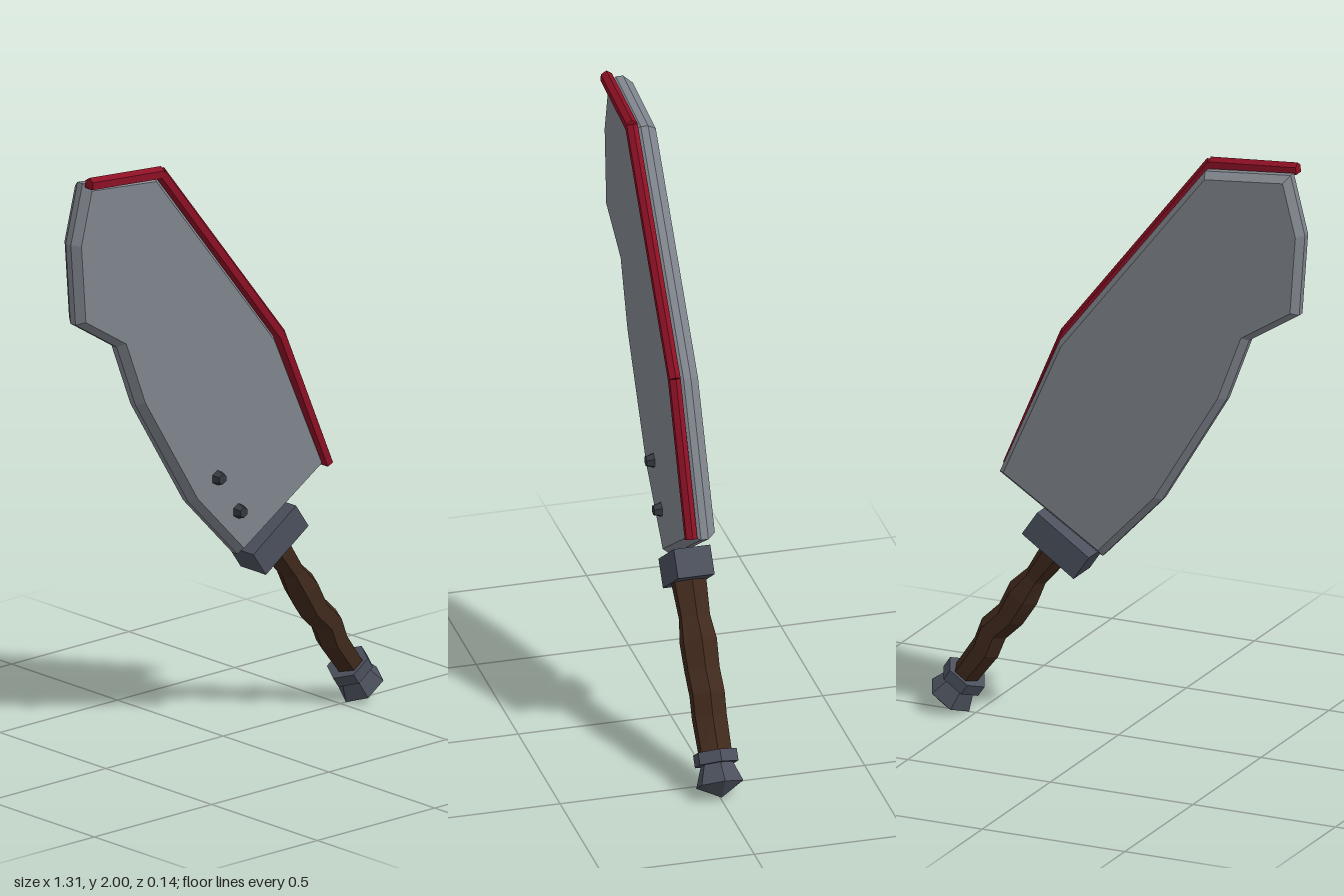
import * as THREE from 'three';

const material = (name, color) => {
  const m = new THREE.MeshStandardMaterial({ color, flatShading: true });
  m.name = name;
  return m;
};

export function createModel() {
  const steel = material('blade steel', 0x7f848c);
  const red = material('red edge', 0x8c1024);
  const wood = material('brown wood', 0x40291c);
  const iron = material('dark iron', 0x4b505c);
  const boltIron = material('bolt iron', 0x353a41);

  const model = new THREE.Group();
  model.name = 'machete';
  const add = (parent, name, geometry, mat) => {
    const mesh = new THREE.Mesh(geometry, mat);
    mesh.name = name;
    parent.add(mesh);
    return mesh;
  };

  // Broad blade, bevelled all round
  const outline = [
    [0.05, 0.6], [0.41, 0.83], [0.2, 1.3], [-0.31, 1.945], [-0.61, 1.975],
    [-0.66, 1.78], [-0.64, 1.51], [-0.465, 1.4], [-0.385, 1.19], [-0.16, 0.82],
  ].map(([x, y]) => new THREE.Vector2(x, y));
  const bladeGeometry = new THREE.ExtrudeGeometry(new THREE.Shape(outline), {
    depth: 0.024, bevelEnabled: true, bevelSegments: 1,
    bevelThickness: 0.028, bevelSize: 0.02, bevelOffset: -0.02,
  });
  bladeGeometry.translate(0, 0, -0.012);
  add(model, 'blade', bladeGeometry, steel);

  // Red strips with a ridge, laid along the front of the long edge
  const profile = new THREE.Shape([
    [-0.018, -0.018], [0.006, -0.018], [0.018, 0], [0.006, 0.018], [-0.018, 0.018],
  ].map(([x, y]) => new THREE.Vector2(x, y)));
  const edge = [[-0.61, 1.983], [-0.305, 1.957], [0.207, 1.307], [0.408, 0.836]]
    .map(([x, y]) => new THREE.Vector3(x, y, 0.043));
  const zAxis = new THREE.Vector3(0, 0, 1);
  for (let i = 0; i < edge.length - 1; i++) {
    const along = edge[i + 1].clone().sub(edge[i]);
    const depth = along.length();
    along.normalize();
    const outward = zAxis.clone().cross(along);
    const strip = new THREE.ExtrudeGeometry(profile, { depth, bevelEnabled: false });
    strip.applyMatrix4(new THREE.Matrix4().makeBasis(outward, zAxis, along).setPosition(edge[i]));
    add(model, 'edgeStrip' + (i + 1), strip, red);
  }

  // Two domed bolts on the front
  for (const [x, y] of [[-0.06, 0.885], [0.03, 0.755]]) {
    const bolt = new THREE.CylinderGeometry(0.017, 0.027, 0.03, 6);
    bolt.rotateX(Math.PI / 2);
    add(model, 'bolt', bolt, boltIron).position.set(x, y, 0.05);
  }

  // Hilt, built upright and then tilted
  const hilt = new THREE.Group();
  hilt.name = 'hilt';
  hilt.position.set(0.222, 0.584, 0);
  hilt.rotation.z = 0.6;
  model.add(hilt);

  add(hilt, 'guard', new THREE.BoxGeometry(0.22, 0.095, 0.12), iron).position.y = 0.052;

  // Carved grip: each ring is [height, sideways shift, half width]
  const rings = [
    [0.01, 0, 0.05], [-0.11, 0.003, 0.038], [-0.19, 0.004, 0.056], [-0.28, -0.003, 0.05],
    [-0.36, 0.014, 0.05], [-0.43, -0.002, 0.049], [-0.56, 0.002, 0.044],
  ];
  const grip = new THREE.CylinderGeometry(1, 1, 1, 6, rings.length - 1);
  grip.rotateY(Math.PI / 2);
  const p = grip.attributes.position;
  for (let i = 0; i < p.count; i++) {
    const [y, shift, half] = rings[Math.round((0.5 - p.getY(i)) * (rings.length - 1))];
    p.setXYZ(i, p.getX(i) * half + shift, y, p.getZ(i) * (0.035 + half * 0.5));
  }
  add(hilt, 'grip', grip, wood);

  // Six-sided collar and flared pommel
  const hexLathe = (points) => {
    const g = new THREE.LatheGeometry(points.map(([r, y]) => new THREE.Vector2(r, y)), 6);
    g.rotateY(Math.PI / 2);
    return g;
  };
  add(hilt, 'collar', hexLathe([[0, -0.585], [0.073, -0.585], [0.073, -0.545], [0, -0.545]]), iron);
  add(hilt, 'pommel', hexLathe([[0, -0.692], [0.079, -0.65], [0.052, -0.58], [0, -0.58]]), iron);

  return model;
}
